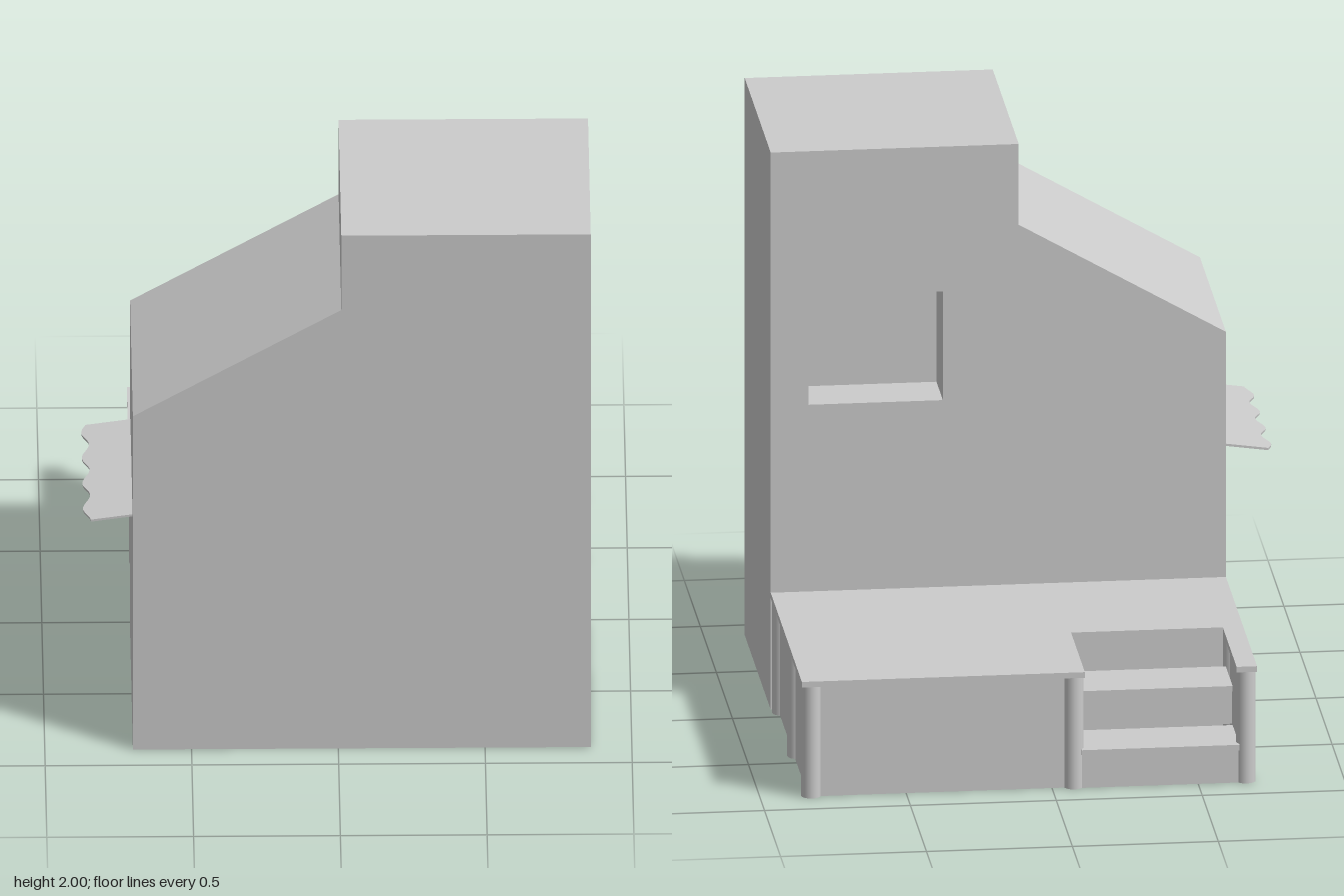
import * as THREE from 'three';

const mat = new THREE.MeshStandardMaterial({ color: 0xcccccc });

function add(parent, name, geometry, x = 0, y = 0, z = 0) {
  const mesh = new THREE.Mesh(geometry, mat);
  mesh.name = name;
  mesh.position.set(x, y, z);
  parent.add(mesh);
  return mesh;
}

const shapeOf = (pts) => new THREE.Shape(pts.map(([x, y]) => new THREE.Vector2(x, y)));
const extrude = (shape, depth) => new THREE.ExtrudeGeometry(shape, { depth, bevelEnabled: false });
// Horizontal plate from an (x, z) outline, its top at y = 0
const plate = (pts, thickness) => extrude(shapeOf(pts), thickness).rotateX(Math.PI / 2);

// Building: stepped gable outline, with a deep window niche in the back wall
function makeBuilding() {
  const g = new THREE.Group();
  g.name = 'building';
  const outline = [[-0.7, 0], [0.86, 0], [0.86, 2], [0.01, 2], [0.01, 1.71], [-0.7, 1.3]];
  const backZ = 0.08, nicheZ = 0.28, frontZ = 0.89;
  add(g, 'mainBody', extrude(shapeOf(outline), frontZ - nicheZ), 0, 0, nicheZ);
  const rear = shapeOf(outline);
  rear.holes.push(shapeOf([[0.27, 1.09], [0.27, 1.48], [0.73, 1.48], [0.73, 1.09]]));
  add(g, 'rearWallWithWindow', extrude(rear, nicheZ - backZ), 0, 0, backZ);
  return g;
}

// Awning: thin sloping sheet with four scallops along its outer edge
function makeAwning() {
  const z0 = 0.15, z1 = 0.815, steps = 48;
  const pts = [[0.01, z1], [0.01, z0]];
  for (let i = 0; i <= steps; i++) {
    const z = z0 + (z1 - z0) * i / steps;
    pts.push([-0.157 - 0.013 * Math.cos((z - 0.2) / 0.177 * 2 * Math.PI), z]);
  }
  const awning = new THREE.Mesh(plate(pts, 0.008), mat);
  awning.name = 'awning';
  awning.position.set(-0.7, 0.876, 0);
  awning.rotation.z = 0.14;
  return awning;
}

// Raised deck behind the building: hollow underneath, with a notch for steps
function makeDeck() {
  const g = new THREE.Group();
  g.name = 'deck';
  const top = 0.42, under = 0.4;
  add(g, 'deckBoard', plate([
    [-0.7, 0.08], [0.86, 0.08], [0.86, -0.89], [-0.11, -0.89],
    [-0.11, -0.46], [-0.63, -0.46], [-0.63, -0.89], [-0.7, -0.89],
  ], top - under), 0, top, 0);

  // Round posts on a three by three grid
  const xs = [0.825, -0.075, -0.665], zs = [0.045, -0.425, -0.855];
  for (const x of xs) {
    for (const z of zs) {
      add(g, 'post', new THREE.CylinderGeometry(0.034, 0.034, under, 16), x, under / 2, z);
    }
  }

  // Skirt panels between the posts
  const skirt = (x0, z0, x1, z1) => {
    const t = 0.02;
    add(g, 'skirtPanel',
      new THREE.BoxGeometry(Math.abs(x1 - x0) || t, under, Math.abs(z1 - z0) || t),
      (x0 + x1) / 2, under / 2, (z0 + z1) / 2);
  };
  const [right, mid, left] = xs, [near, middle, far] = zs;
  skirt(right, near, right, far);
  skirt(left, near, left, far);
  skirt(right, far, mid, far);
  skirt(mid, middle, mid, far);
  skirt(mid, middle, left, middle);

  // Two steps, each a riser and a tread
  const rise = 0.14, run = 0.215;
  for (let i = 0; i < 2; i++) {
    const y = rise * (i + 1), z = -0.89 + run * i;
    add(g, 'stepTread', new THREE.BoxGeometry(0.54, 0.02, run), -0.37, y - 0.01, z + run / 2);
    add(g, 'stepRiser', new THREE.BoxGeometry(0.54, rise - 0.02, 0.02), -0.37, y - 0.02 - (rise - 0.02) / 2, z + 0.025);
  }
  return g;
}

export function createModel() {
  const model = new THREE.Group();
  model.name = 'shopWithDeck';
  model.add(makeBuilding(), makeAwning(), makeDeck());
  return model;
}
